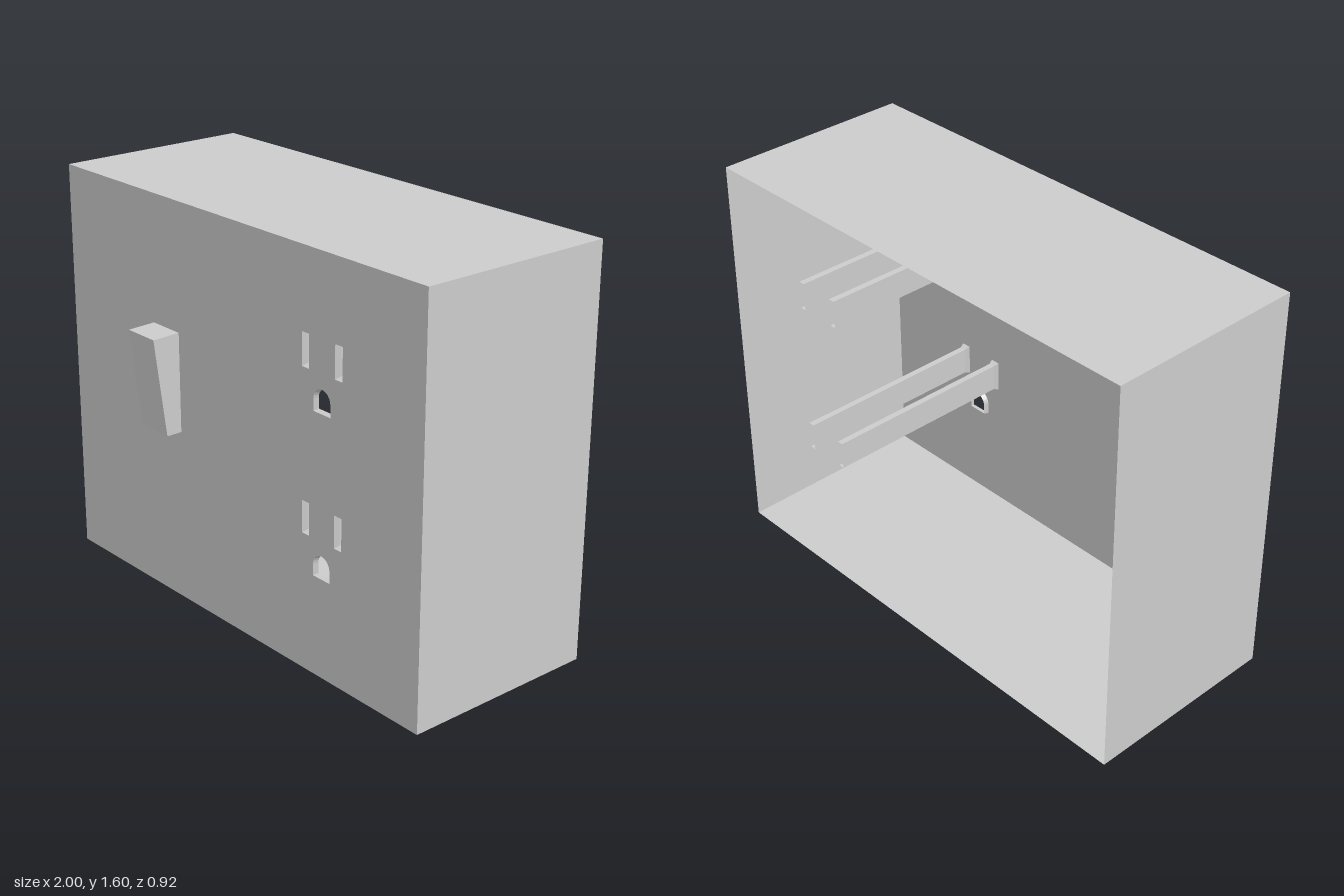
import * as THREE from 'three';

const FRONT = 0.345, BACK = -0.46;

// Rectangle outline centred on (x, y)
function rect(x, y, w, h) {
  return [[-1, -1], [1, -1], [1, 1], [-1, 1]].map(([a, b]) => new THREE.Vector2(x + a * w / 2, y + b * h / 2));
}

// Flat-bottomed arch outline for the ground hole
function arch(x, y, w, h) {
  const r = w / 2, pts = [new THREE.Vector2(x - r, y), new THREE.Vector2(x + r, y)];
  for (let i = 0; i <= 12; i++) {
    const a = Math.PI * i / 12;
    pts.push(new THREE.Vector2(x + r * Math.cos(a), y + h - r + r * Math.sin(a)));
  }
  return pts;
}

// Open skin joining outlines at successive depths, running front to back
function loft(sections) {
  const pos = [];
  for (let s = 0; s < sections.length - 1; s++) {
    const [A, za] = sections[s], [B, zb] = sections[s + 1];
    for (let i = 0; i < A.length; i++) {
      const j = (i + 1) % A.length;
      const a = [A[i].x, A[i].y, za], b = [A[j].x, A[j].y, za];
      const c = [B[j].x, B[j].y, zb], d = [B[i].x, B[i].y, zb];
      pos.push(...a, ...d, ...c, ...a, ...c, ...b);
    }
  }
  const g = new THREE.BufferGeometry();
  g.setAttribute('position', new THREE.Float32BufferAttribute(pos, 3));
  g.computeVertexNormals();
  return g;
}

export function createModel() {
  const group = new THREE.Group();
  const grey = new THREE.MeshStandardMaterial({ color: 0xcccccc, side: THREE.DoubleSide });
  grey.name = 'light grey';
  const add = (name, geometry) => {
    const mesh = new THREE.Mesh(geometry, grey);
    mesh.name = name;
    group.add(mesh);
    return mesh;
  };

  // Side walls, open at the back
  const outline = rect(0, 0.8, 2, 1.6);
  add('housingWalls', loft([[outline, FRONT], [outline, BACK]]));

  const plate = new THREE.Shape(outline);

  // Two sockets: a pair of blade sleeves and a ground hole each
  for (const [label, y] of [['upper', 0.626], ['lower', 0]]) {
    for (const [side, x] of [['Right', 0.413], ['Left', 0.584]]) {
      const mouth = rect(x, 0.604 + y, 0.038, 0.126);
      const bore = rect(x, 0.604 + y, 0.025, 0.11);
      plate.holes.push(new THREE.Path(mouth));
      add(label + side + 'BladeSleeve', loft([[mouth, FRONT], [bore, FRONT - 0.02], [bore, BACK]]));
    }
    const rim = arch(0.498, 0.395 + y, 0.088, 0.09);
    const hole = arch(0.498, 0.4 + y, 0.078, 0.08);
    plate.holes.push(new THREE.Path(rim));
    add(label + 'GroundHole', loft([[rim, FRONT], [hole, FRONT - 0.02]]));
  }

  // Front plate with cut-outs
  add('frontPlate', new THREE.ShapeGeometry(plate)).position.z = FRONT;

  // Tilted rocker switch: wedge profile in (z, y) extruded across x
  const profile = new THREE.Shape([[FRONT, 0.7], [0.41, 0.7], [0.46, 1.093], [FRONT, 1.096]]
    .map(([z, y]) => new THREE.Vector2(-z, y)));
  const wedge = new THREE.ExtrudeGeometry(profile, { depth: 0.155, bevelEnabled: false });
  wedge.rotateY(Math.PI / 2);
  add('rockerSwitch', wedge).position.x = -0.467;

  return group;
}
